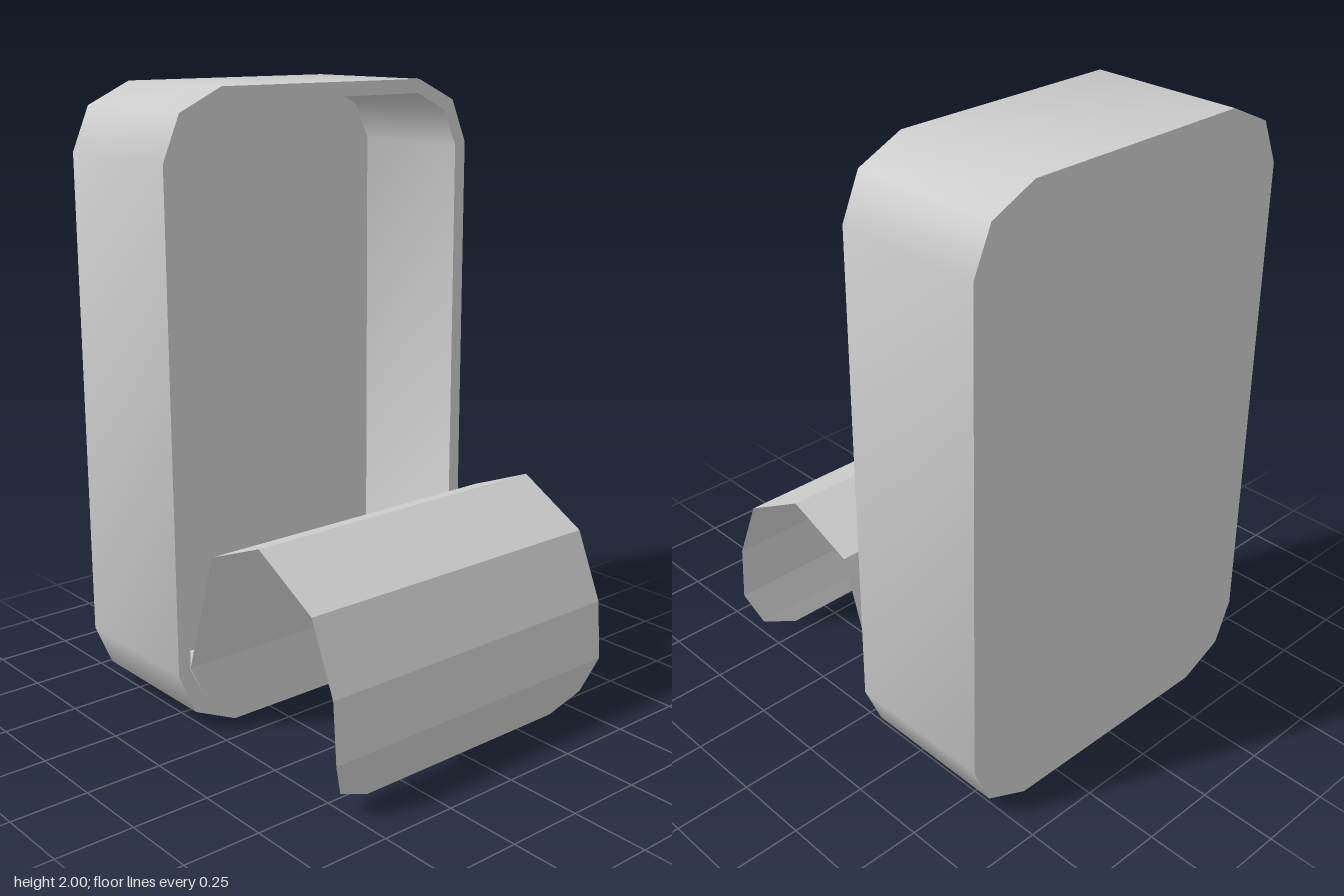
import * as THREE from 'three';
import { toCreasedNormals } from 'three/addons/utils/BufferGeometryUtils.js';

const BACK = -0.605, FRONT = -0.105, FLOOR = -0.55, MID = 1;

// Closed outline from one corner's points, mirrored into all four corners
function outline(corner) {
  const pts = [];
  for (const [sx, sy] of [[1, 1], [-1, 1], [-1, -1], [1, -1]]) {
    const run = corner.map(([x, y]) => new THREE.Vector2(sx * x, MID + sy * y));
    pts.push(...(sx * sy > 0 ? run : run.reverse()));
  }
  return pts;
}

// Extrusion along z with soft corners and sharp rims
function slab(shape, z0, z1) {
  const geo = new THREE.ExtrudeGeometry(shape, { depth: z1 - z0, bevelEnabled: false });
  geo.translate(0, 0, z0);
  return toCreasedNormals(geo, Math.PI / 3);
}

// Flat-shaded strip of quads across x, rows are [halfWidth, y, z]
function strip(rows) {
  const pos = [], index = [];
  rows.forEach(([w, y, z], i) => {
    pos.push(-w, y, z, w, y, z);
    if (i) {
      const a = 2 * i - 2;
      index.push(a, a + 1, a + 3, a, a + 3, a + 2);
    }
  });
  const indexed = new THREE.BufferGeometry();
  indexed.setAttribute('position', new THREE.Float32BufferAttribute(pos, 3));
  indexed.setIndex(index);
  const geo = indexed.toNonIndexed();
  geo.computeVertexNormals();
  return geo;
}

export function createModel() {
  const group = new THREE.Group();
  const metal = new THREE.MeshStandardMaterial({ color: 0xcccccc });
  const sheet = new THREE.MeshStandardMaterial({ color: 0xcccccc, side: THREE.DoubleSide, flatShading: true });
  const add = (name, geo, mat) => {
    const mesh = new THREE.Mesh(geo, mat);
    mesh.name = name;
    group.add(mesh);
  };

  const outer = outline([[0.6, 0.79], [0.54, 0.93], [0.39, 1]]);
  const inner = outline([[0.556, 0.78], [0.5, 0.9], [0.385, 0.955]]);

  // Upright tin: hollow wall and the plate closing its back
  const wall = new THREE.Shape(outer);
  wall.holes.push(new THREE.Path(inner));
  add('tinWall', slab(wall, BACK, FRONT), metal);
  add('tinFloor', slab(new THREE.Shape(inner), BACK, FLOOR), metal);

  // Peeled lid: still attached at the bottom, curling forward and down
  const W = 0.556;
  add('peeledLid', strip([
    [0.385, 0.045, FRONT], [0.5, 0.1, FRONT], [W, 0.225, FRONT],
    [W, 0.63, 0.025], [W, 0.723, 0.26], [W, 0.59, 0.5], [W, 0.372, 0.592],
    [W, 0.178, 0.605], [0.51, 0.062, 0.567], [0.39, 0.01, 0.548],
  ]), sheet);

  return group;
}
